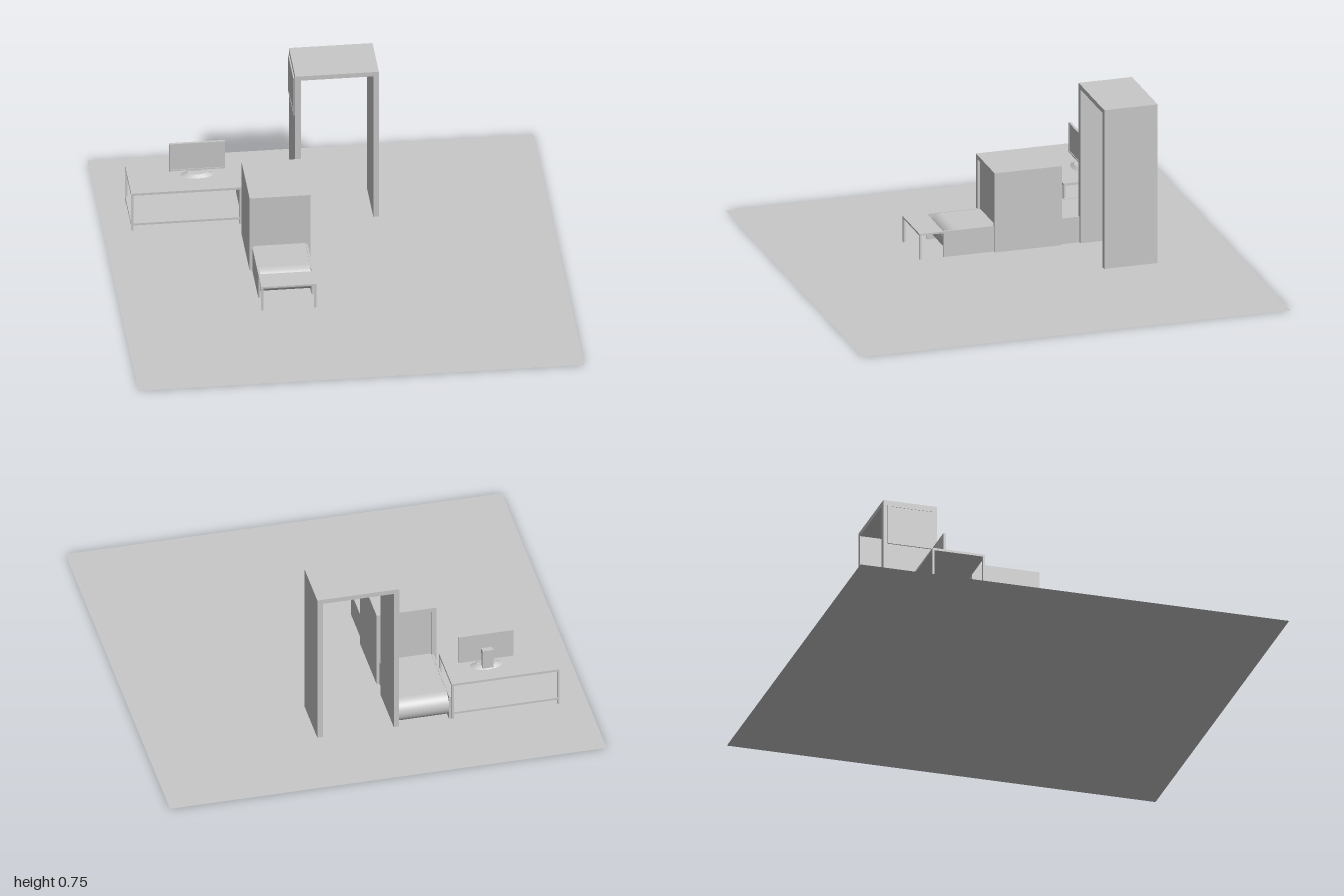
import * as THREE from 'three';

const grey = new THREE.MeshStandardMaterial({ color: 0xc8c8c8, side: THREE.DoubleSide });
grey.name = 'lightGrey';

// Box given by its lower and upper limits on each axis
function box(parent, name, [x0, x1], [y0, y1], [z0, z1]) {
  const mesh = new THREE.Mesh(new THREE.BoxGeometry(x1 - x0, y1 - y0, z1 - z0), grey);
  mesh.position.set((x0 + x1) / 2, (y0 + y1) / 2, (z0 + z1) / 2);
  mesh.name = name;
  parent.add(mesh);
  return mesh;
}

function part(parent, name) {
  const group = new THREE.Group();
  group.name = name;
  parent.add(group);
  return group;
}

// Framed panel: thin rim of four bars in the XY plane around an inset face
function framedPanel(parent, name, w, h, depth, rim) {
  const g = part(parent, name);
  const outer = new THREE.Shape([[-w, -h], [w, -h], [w, h], [-w, h]].map(([x, y]) => new THREE.Vector2(x / 2, y / 2)));
  const a = w / 2 - rim, b = h / 2 - rim;
  outer.holes.push(new THREE.Path([[-a, -b], [-a, b], [a, b], [a, -b]].map(([x, y]) => new THREE.Vector2(x, y))));
  const frame = new THREE.Mesh(new THREE.ExtrudeGeometry(outer, { depth, bevelEnabled: false }), grey);
  frame.name = name + 'Frame';
  g.add(frame);
  box(g, name + 'Face', [-a, a], [-b, b], [0, depth * 0.7]);
  return g;
}

export function createModel() {
  const model = new THREE.Group();
  model.name = 'securityCheckpoint';

  // Floor
  const floor = new THREE.Mesh(new THREE.PlaneGeometry(2, 2).rotateX(-Math.PI / 2), grey);
  floor.name = 'floor';
  model.add(floor);

  // Walk-through gate with a display on its side
  const gate = part(model, 'gate');
  const gateZ = [-0.625, -0.375];
  box(gate, 'gatePost', [-0.14, -0.115], [0, 0.73], gateZ);
  box(gate, 'gatePost', [0.21, 0.235], [0, 0.73], gateZ);
  box(gate, 'gateTop', [-0.14, 0.235], [0.73, 0.752], gateZ);
  const display = framedPanel(gate, 'gateDisplay', 0.21, 0.19, 0.006, 0.008);
  display.rotation.y = -Math.PI / 2;
  display.position.set(-0.14, 0.635, -0.5);

  // Scanner cabinet, recessed at both ends
  const scanner = part(model, 'scanner');
  const scanZ = [-0.29, 0.025];
  box(scanner, 'scannerWall', [-0.39, -0.37], [0, 0.375], scanZ);
  box(scanner, 'scannerWall', [-0.137, -0.117], [0, 0.375], scanZ);
  box(scanner, 'scannerRoof', [-0.37, -0.137], [0.355, 0.375], scanZ);
  for (const z of [-0.275, 0.01]) {
    box(scanner, 'scannerCurtain', [-0.37, -0.137], [0.12, 0.355], [z - 0.003, z + 0.003]);
  }

  // Conveyor: rounded belt between two side panels
  const conveyor = part(model, 'conveyor');
  const r = 0.057;
  const loop = new THREE.Shape();
  loop.absarc(0.195, 0, r, -Math.PI / 2, Math.PI / 2, false);
  loop.absarc(-0.568, 0, r, Math.PI / 2, Math.PI * 1.5, false);
  const beltGeometry = new THREE.ExtrudeGeometry(loop, { depth: 0.23, bevelEnabled: false, curveSegments: 16 });
  const belt = new THREE.Mesh(beltGeometry.rotateY(-Math.PI / 2), grey);
  belt.position.set(-0.139, 0.062, 0);
  belt.name = 'belt';
  conveyor.add(belt);
  for (const x of [-0.378, -0.139]) {
    box(conveyor, 'conveyorSide', [x, x + 0.009], [0, 0.121], [-0.624, 0.26]);
  }

  // Small collecting table at the end of the belt
  const table = part(model, 'collectingTable');
  box(table, 'tableTop', [-0.378, -0.13], [0.113, 0.121], [0.26, 0.372]);
  for (const x of [-0.378, -0.14]) box(table, 'tableLeg', [x, x + 0.01], [0, 0.113], [0.362, 0.372]);

  // Operator desk with lower shelf
  const desk = part(model, 'desk');
  box(desk, 'deskTop', [-0.875, -0.38], [0.179, 0.19], [-0.625, -0.38]);
  box(desk, 'deskShelf', [-0.875, -0.38], [0.025, 0.035], [-0.625, -0.38]);
  for (const x of [-0.875, -0.39]) {
    for (const z of [-0.625, -0.39]) box(desk, 'deskLeg', [x, x + 0.01], [0, 0.179], [z, z + 0.01]);
  }

  // Monitor on a low stand
  const monitor = part(model, 'monitor');
  const screen = framedPanel(monitor, 'screen', 0.25, 0.14, 0.012, 0.006);
  screen.position.set(-0.565, 0.29, -0.516);
  box(monitor, 'monitorNeck', [-0.59, -0.54], [0.195, 0.29], [-0.548, -0.528]);
  box(monitor, 'monitorBracket', [-0.59, -0.54], [0.265, 0.285], [-0.53, -0.514]);
  const baseGeometry = new THREE.CylinderGeometry(0.045, 0.075, 0.012, 12).scale(1, 1, 0.5);
  const base = new THREE.Mesh(baseGeometry, grey);
  base.position.set(-0.565, 0.196, -0.515);
  base.name = 'monitorBase';
  monitor.add(base);

  return model;
}
